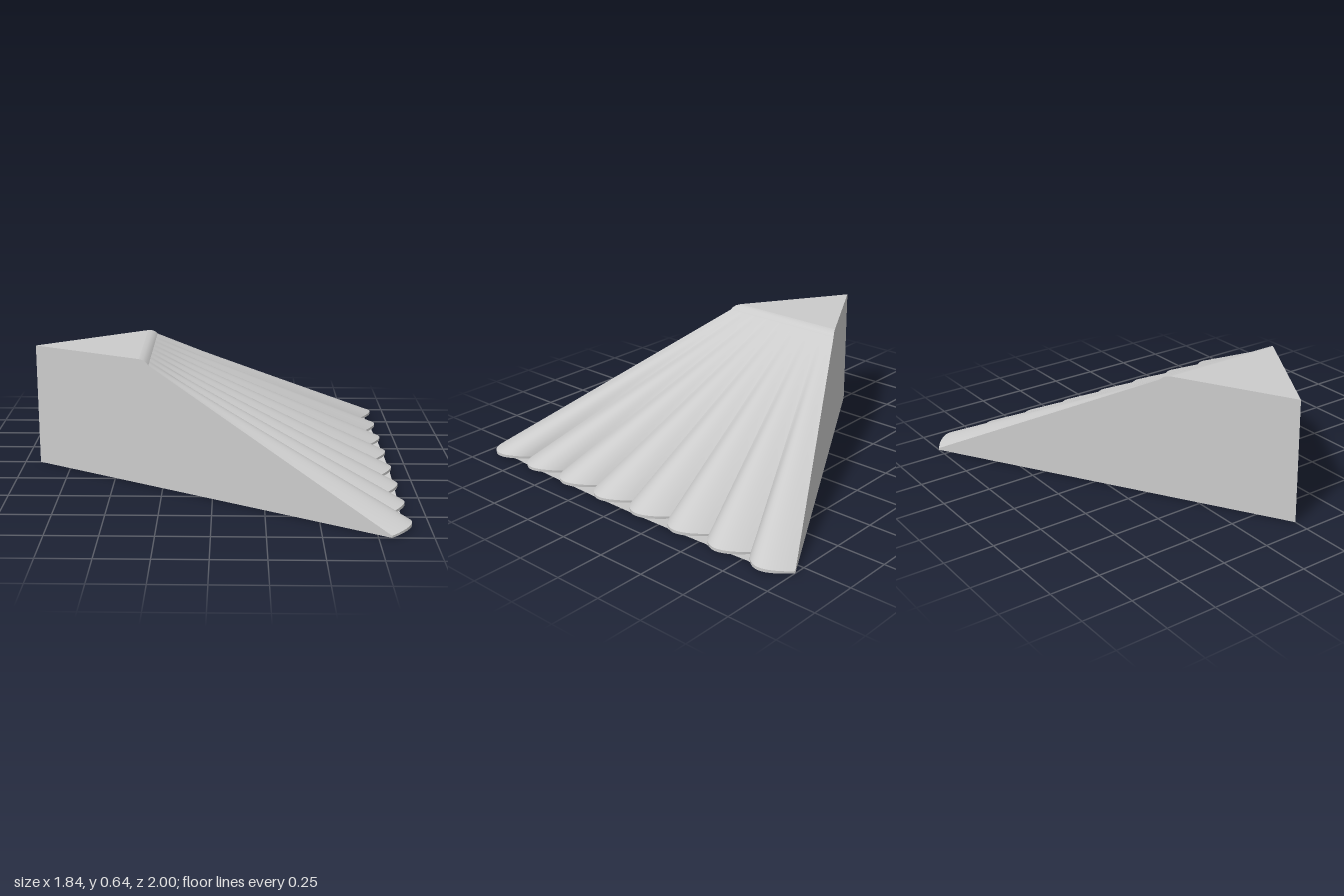
import * as THREE from 'three';

const APEX_X = -0.92, REACH = 1.73, FLUTES = 8, SEG = 14;
// Top profile along the fan: [fraction of reach, height]
const CAP = [[0, 0.634], [0.322, 0.645], [0.334, 0.642], [0.344, 0.632], [0.35, 0.62]];
const EDGE_Y = 0.01, BULGE_X = 0.105, BULGE_Y = 0.02;

const material = new THREE.MeshStandardMaterial({ color: 0xcccccc, side: THREE.DoubleSide });

// Grid surface from point(i, j); faces point along (i direction) x (j direction)
function patch(name, rows, cols, point) {
  const pos = [], index = [];
  for (let i = 0; i <= rows; i++) {
    for (let j = 0; j <= cols; j++) {
      pos.push(...point(i, j));
      if (i < rows && j < cols) {
        const a = i * (cols + 1) + j, b = a + cols + 1;
        index.push(a, b, a + 1, b, b + 1, a + 1);
      }
    }
  }
  const g = new THREE.BufferGeometry();
  g.setAttribute('position', new THREE.Float32BufferAttribute(pos, 3));
  g.setIndex(index);
  g.computeVertexNormals();
  const mesh = new THREE.Mesh(g, material);
  mesh.name = name;
  return mesh;
}

// Point on the fan: u runs across (-1..1), r runs out from the apex
const fan = (u, r, y) => [APEX_X + REACH * r, y, u * r];

// Fluted slope: t runs from the cap (0) down to the rim (1)
function slope(u, t) {
  const phase = Math.abs(Math.sin((u + 1) / 2 * FLUTES * Math.PI));
  const b = t * Math.pow(phase, 1.5 - 0.65 * t);
  const [r0, y0] = CAP[CAP.length - 1];
  const [x, y, z] = fan(u, r0 + (1 - r0) * t, y0 + (EDGE_Y - y0) * t);
  return [x + BULGE_X * b, y + BULGE_Y * b, z];
}

// Underside rises gently beyond the straight base line
const underY = x => 0.015 * (x - 0.81) / BULGE_X;

export function createModel() {
  const model = new THREE.Group();
  model.name = 'fluted wedge';

  // Flat triangular cap with a rolled front edge
  const flat = patch('cap', 1, 1, (i, j) => fan(i * 2 - 1, CAP[j][0], CAP[j][1]));
  const roll = patch('capEdge', 1, CAP.length - 2, (i, j) => fan(i * 2 - 1, CAP[j + 1][0], CAP[j + 1][1]));
  model.add(flat, roll);

  // Rounded flutes, separate so the valleys stay sharp
  const flutes = new THREE.Group();
  flutes.name = 'flutes';
  for (let k = 0; k < FLUTES; k++) {
    flutes.add(patch('flute', SEG, 16, (i, j) => slope(-1 + (k + i / SEG) * 2 / FLUTES, j / 16)));
    // Scalloped end face below each flute
    flutes.add(patch('fluteEnd', 1, SEG, (i, j) => {
      const [x, y, z] = slope(-1 + (k + j / SEG) * 2 / FLUTES, 1);
      return [x, i ? y : underY(x), z];
    }));
  }
  model.add(flutes);

  // Straight side walls meeting at the rear edge
  const profile = [...CAP, [1, EDGE_Y]], n = profile.length - 1;
  for (const side of [1, -1]) {
    model.add(patch(side > 0 ? 'leftWall' : 'rightWall', n, 1, (i, j) => {
      const [r, y] = profile[side > 0 ? i : n - i];
      return fan(side, r, j ? y : 0);
    }));
  }

  // Flat base, and the thin lip filling the gaps between scallops
  model.add(patch('base', 1, 1, (i, j) => fan(j * 2 - 1, i, 0)));
  const cols = FLUTES * SEG;
  model.add(patch('baseLip', 1, cols, (i, j) => {
    const u = -1 + 2 * j / cols, a = Math.abs(u);
    const lip = a > 0.88 ? 0.81 : 0.905 - 0.045 * a * a;
    const x = i ? Math.max(slope(u, 1)[0], lip) : 0.81;
    return [x, underY(x), u];
  }));
  return model;
}
